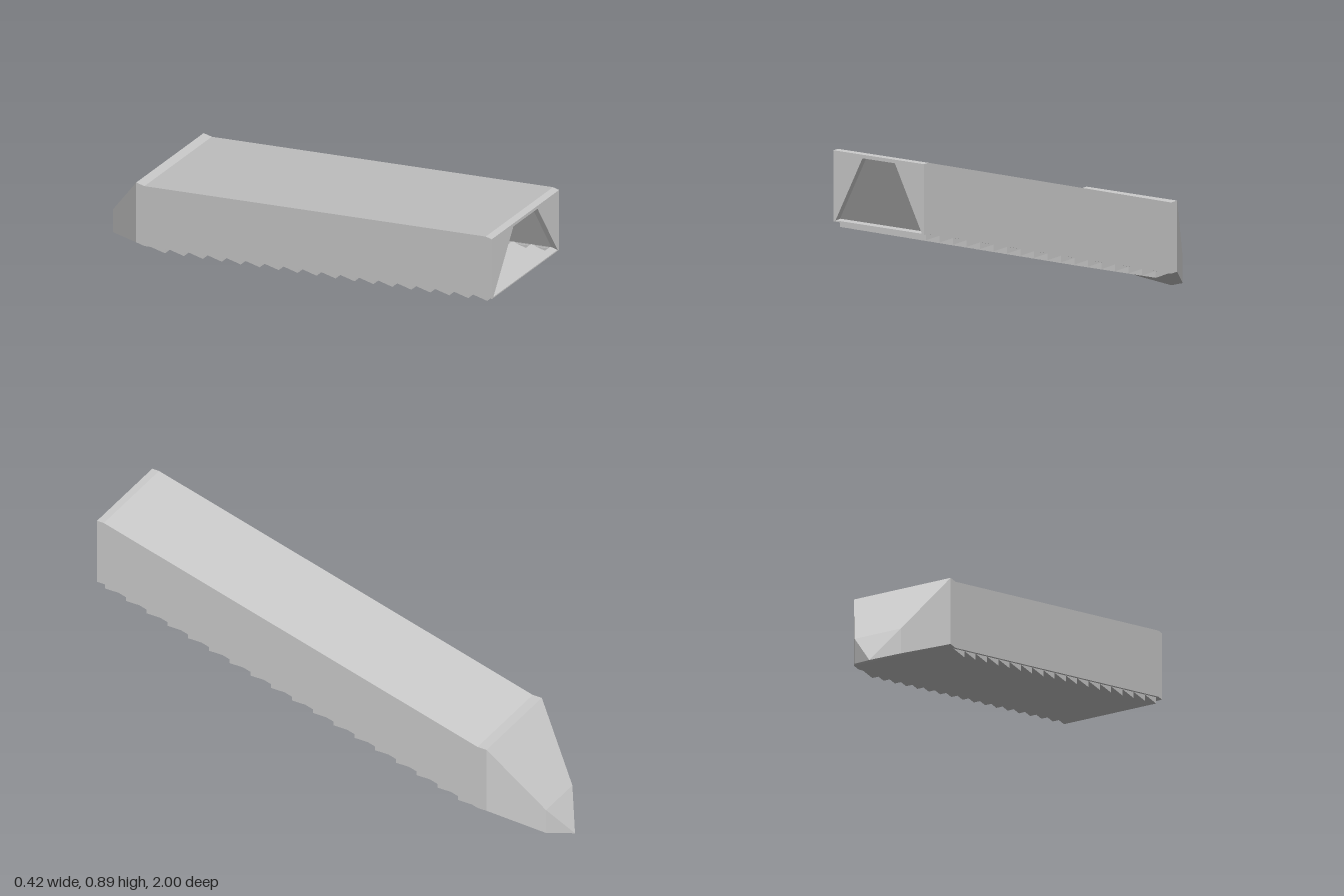
import * as THREE from 'three';
import { ConvexGeometry } from 'three/addons/geometries/ConvexGeometry.js';

const HALF = 0.21, INNER = 0.2, HEIGHT = 0.28;   // outer half width, stair half width, wall height
const STEPS = 18, TOP_Y = 0.61, LOW_Y = 0.133;   // floor heights at the upper and lower landings
const Z = [-0.73, -0.69, 0.97, 1];               // lower end, last step, first step, entrance
const FLOOR = [LOW_Y, LOW_Y, TOP_Y, TOP_Y];      // floor height at each of those stations

const shapeOf = pts => new THREE.Shape(pts.map(([x, y]) => new THREE.Vector2(x, y)));

export function createModel() {
  const group = new THREE.Group();
  const material = new THREE.MeshStandardMaterial({
    color: 0xcccccc, flatShading: true, side: THREE.DoubleSide,
  });
  const add = (name, geometry) => {
    const mesh = new THREE.Mesh(geometry, material);
    mesh.name = name;
    group.add(mesh);
  };

  // Sloping casing: box section around a trapezoid passage, sheared along its length
  const section = shapeOf([
    [-HALF, 0], [-INNER, 0], [-INNER, 0.005], [-0.075, 0.266], [0.075, 0.266],
    [INNER, 0.005], [INNER, 0], [HALF, 0], [HALF, HEIGHT], [-HALF, HEIGHT],
  ]);
  const casing = new THREE.ExtrudeGeometry(section, { depth: 3, steps: 3, bevelEnabled: false });
  const pos = casing.attributes.position;
  for (let i = 0; i < pos.count; i++) {
    const station = Math.round(pos.getZ(i));
    pos.setY(i, pos.getY(i) + FLOOR[station]);
    pos.setZ(i, Z[station]);
  }
  casing.computeVertexNormals();
  add('casing', casing);

  // Side profiles are drawn as (z, y) and extruded across x
  const across = (shapes, width, centreX) => {
    const g = new THREE.ExtrudeGeometry(shapes, { depth: width, bevelEnabled: false });
    g.rotateY(-Math.PI / 2);
    g.translate(centreX + width / 2, 0, 0);
    return g;
  };

  // Staircase: thin folded sheet of risers and treads with a landing at each end
  const run = (Z[2] - Z[1]) / STEPS, rise = (TOP_Y - LOW_Y) / STEPS, t = 0.005;
  const under = [[Z[3], TOP_Y], [Z[2], TOP_Y]];
  const gussets = [];
  for (let i = 0; i < STEPS; i++) {
    const z0 = Z[2] - i * run, z1 = z0 - run;
    const y0 = TOP_Y - i * rise, y1 = y0 - rise;
    under.push([z0, y1], [z1, y1]);
    gussets.push(shapeOf([[z0, y0], [z1, y1], [z0, y1]]));
  }
  under.push([Z[0], LOW_Y]);
  const upper = under.map(([z, y], i) =>
    [i === 0 || i === under.length - 1 ? z : z - t, y + t]);
  add('staircase', across(shapeOf([...under, ...upper.reverse()]), INNER * 2, 0));

  // Triangular plates closing the sides of the steps
  for (const side of [-1, 1]) {
    add(side > 0 ? 'leftStepSides' : 'rightStepSides',
      across(gussets, 0.004, side * (INNER - 0.002)));
  }

  // Pointed nose at the lower end
  const corners = [new THREE.Vector3(0, 0, -1)];
  for (const s of [-1, 1]) {
    corners.push(
      new THREE.Vector3(s * HALF, LOW_Y + HEIGHT, Z[0]),
      new THREE.Vector3(s * HALF, LOW_Y, Z[0]),
      new THREE.Vector3(s * 0.1, 0.14, -0.93),
      new THREE.Vector3(s * 0.1, 0.035, -0.93),
    );
  }
  add('nose', new ConvexGeometry(corners));

  return group;
}
